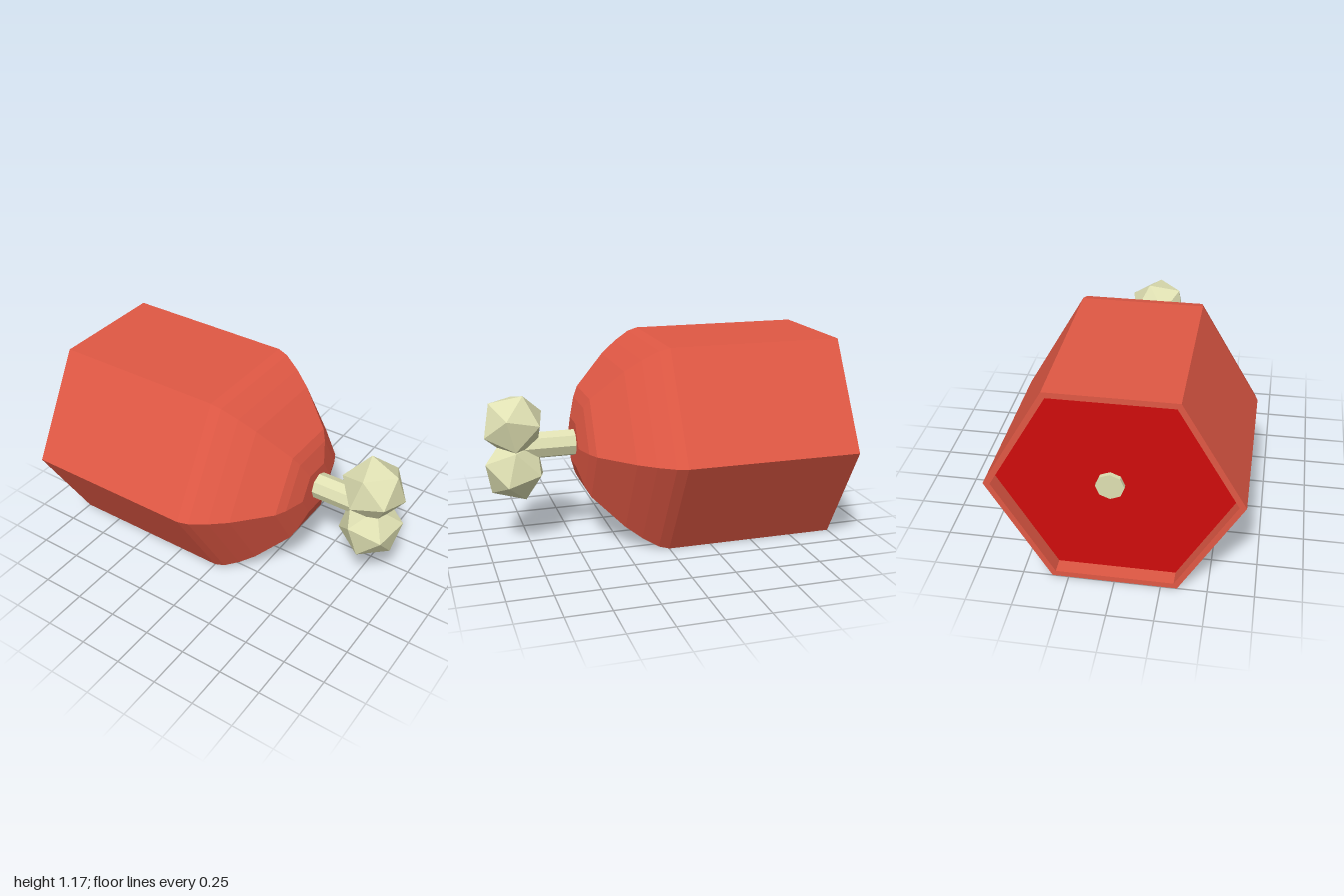
import * as THREE from 'three';

const mat = (color, side = THREE.FrontSide) =>
  new THREE.MeshStandardMaterial({ color, side, flatShading: true });

export function createModel() {
  const group = new THREE.Group();
  const skin = mat(0xe05844);
  const flesh = mat(0xd00c0c);
  const bone = mat(0xdfe0b2);

  const add = (name, geometry, material, x, y, z) => {
    const mesh = new THREE.Mesh(geometry, material);
    mesh.name = name;
    mesh.position.set(x, y, z);
    group.add(mesh);
    return mesh;
  };

  // Six-sided meat body, turned along x: recessed rim, straight sides, tapered end
  const profile = [
    [0.64, -0.915], [0.64, -1], [0.677, -1], [0.677, 0], [0.659, 0.06], [0.6, 0.15],
    [0.525, 0.24], [0.333, 0.415], [0.27, 0.445], [0.15, 0.48], [0, 0.48],
  ].map(([r, x]) => new THREE.Vector2(r, x));
  const body = new THREE.LatheGeometry(profile, 6).rotateZ(-Math.PI / 2);
  add('meatBody', body, skin, 0, 0.587, 0);

  // Cut face set back inside the rim
  const cut = new THREE.CircleGeometry(0.64, 6).rotateY(-Math.PI / 2);
  add('cutFace', cut, flesh, -0.915, 0.587, 0);

  // Bone shaft running right through the meat
  const shaft = new THREE.CylinderGeometry(0.077, 0.077, 1.75, 8).rotateZ(-Math.PI / 2);
  add('boneShaft', shaft, bone, -0.065, 0.593, -0.025);

  // Two mirrored knobs, each turned so one edge runs from corner a to corner b
  for (const s of [1, -1]) {
    const a = new THREE.Vector3(-0.053, 0.174 * s, -0.05);
    const b = new THREE.Vector3(0.134, 0.13 * s, 0);
    const y = a.clone().add(b).normalize();
    const x = b.clone().sub(a);
    x.addScaledVector(y, -x.dot(y)).normalize();
    const z = x.clone().cross(y);
    const knob = new THREE.IcosahedronGeometry(0.187, 0);
    knob.applyMatrix4(new THREE.Matrix4().makeBasis(x, y, z));
    add(s > 0 ? 'upperKnob' : 'lowerKnob', knob, bone, 0.826, 0.593 + 0.131 * s, -0.023);
  }

  return group;
}
